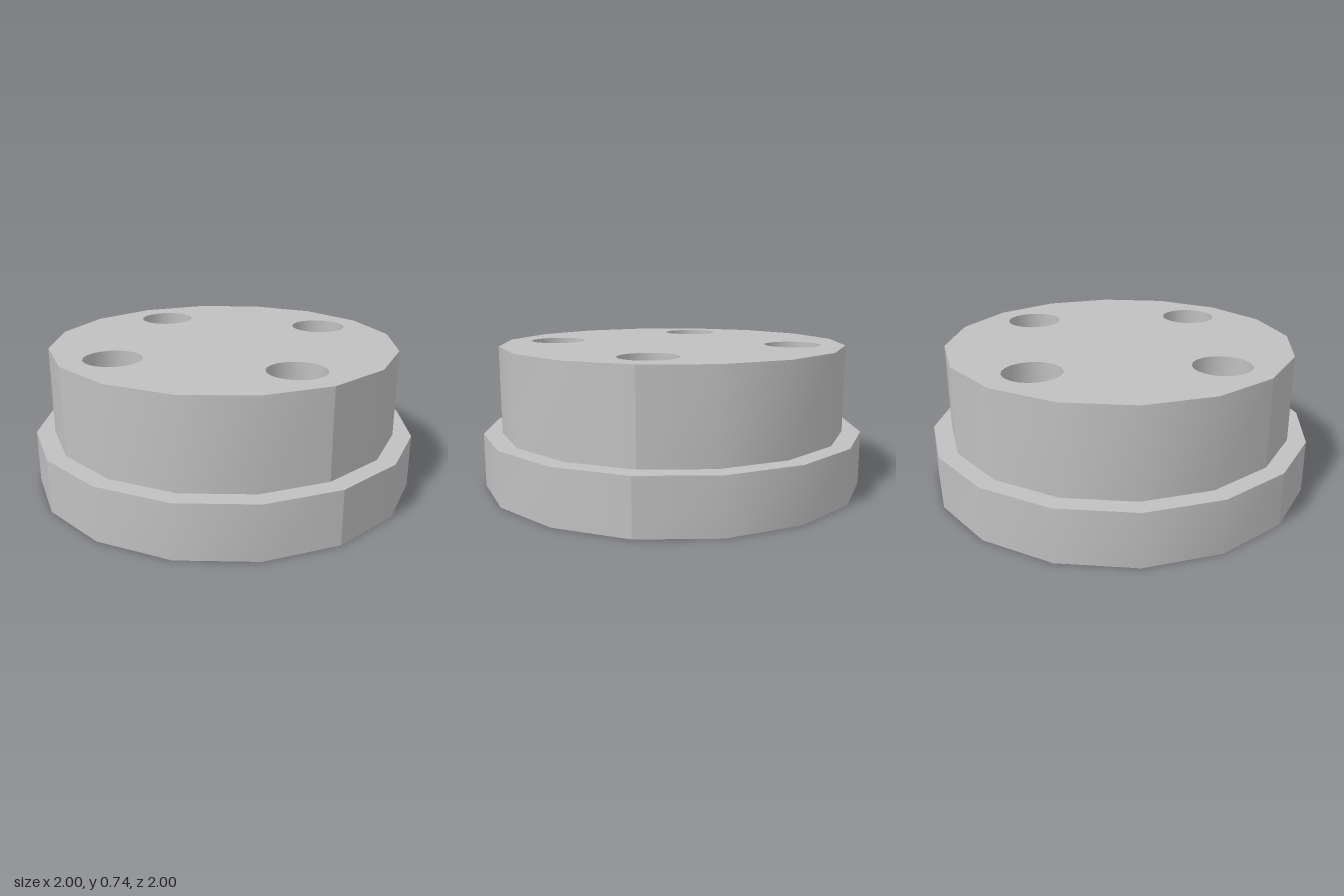
import * as THREE from 'three';

const BASE_R = 1.008, BODY_R = 0.912, LEDGE_Y = 0.28, TOP_Y = 0.735;
const HOLE_R = 0.147, HOLE_DIST = 0.64, HOLE_SIDES = 20;
const TURN = THREE.MathUtils.degToRad(15.4);
const QUARTER = Math.PI / 2;

// Closed regular polygon as a list of points
function polygon(radius, sides, cx = 0, cy = 0) {
  return Array.from({ length: sides }, (_, i) => {
    const a = TURN + (i / sides) * Math.PI * 2;
    return new THREE.Vector2(cx + radius * Math.cos(a), cy + radius * Math.sin(a));
  });
}

// Turn a geometry inside out
function flip(geometry) {
  const index = geometry.index;
  for (let i = 0; i < index.count; i += 3) {
    const a = index.getX(i);
    index.setX(i, index.getX(i + 2));
    index.setX(i + 2, a);
  }
  const n = geometry.attributes.normal;
  for (let i = 0; i < n.count; i++) n.setXYZ(i, -n.getX(i), -n.getY(i), -n.getZ(i));
  return geometry;
}

// Flat horizontal face with holes, looking up
function plate(radius, holes, y) {
  const shape = new THREE.Shape(polygon(radius, 16));
  shape.holes = holes.map((points) => new THREE.Path(points));
  return new THREE.ShapeGeometry(shape).rotateX(-QUARTER).translate(0, y, 0);
}

export function createModel() {
  const group = new THREE.Group();
  const grey = new THREE.MeshStandardMaterial({ color: 0xc0c0c0 });
  grey.name = 'grey';

  const add = (name, geometry) => {
    const mesh = new THREE.Mesh(geometry, grey);
    mesh.name = name;
    group.add(mesh);
  };

  // Outer walls: four smooth quarters meeting at crisp seams
  const wall = (name, radius, y0, y1) => {
    for (let q = 0; q < 4; q++) {
      const g = new THREE.CylinderGeometry(
        radius, radius, y1 - y0, 4, 1, true, TURN + (q + 1) * QUARTER, QUARTER);
      g.computeVertexNormals();
      add(name + (q + 1), g.translate(0, (y0 + y1) / 2, 0));
    }
  };
  wall('flangeWall', BASE_R, 0, LEDGE_Y);
  wall('bodyWall', BODY_R, LEDGE_Y, TOP_Y);

  // Four through holes
  const holes = [];
  for (let i = 0; i < 4; i++) {
    const a = TURN + i * QUARTER;
    const x = HOLE_DIST * Math.cos(a), y = HOLE_DIST * Math.sin(a);
    holes.push(polygon(HOLE_R, HOLE_SIDES, x, y));
    const bore = new THREE.CylinderGeometry(
      HOLE_R, HOLE_R, TOP_Y, HOLE_SIDES, 1, true, TURN + QUARTER);
    add('boltHole' + (i + 1), flip(bore).translate(x, TOP_Y / 2, -y));
  }

  // Horizontal faces
  add('topFace', plate(BODY_R, holes, TOP_Y));
  add('flangeLedge', plate(BASE_R, [polygon(BODY_R, 16)], LEDGE_Y));
  add('bottomFace', flip(plate(BASE_R, holes, 0)));

  return group;
}
